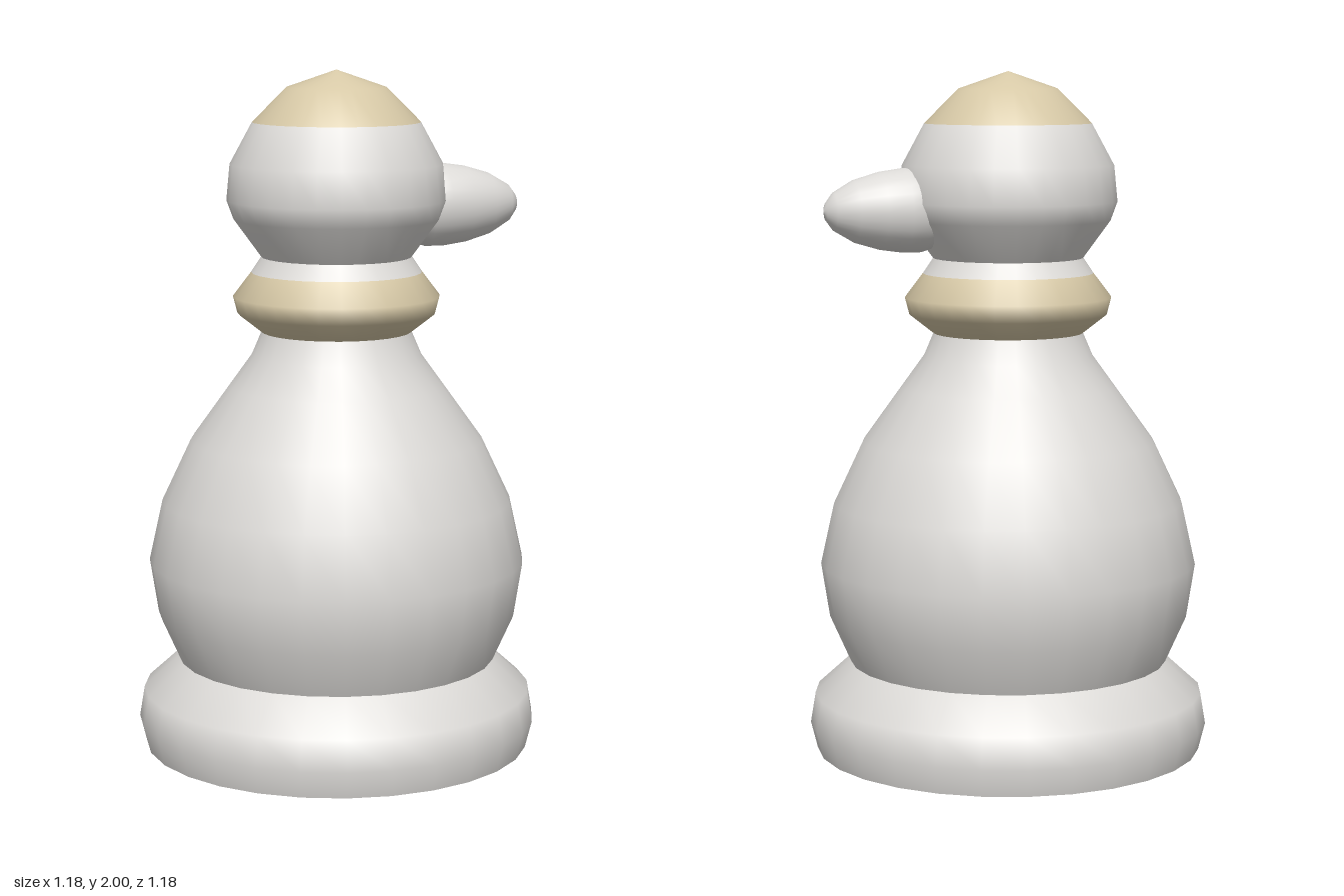
import * as THREE from 'three';

const SEGMENTS = 28;

export function createModel() {
  const model = new THREE.Group();
  const pale = new THREE.MeshStandardMaterial({ color: 0xdcdad7 });
  pale.name = 'pale grey';
  const tan = new THREE.MeshStandardMaterial({ color: 0xd6c8a6 });
  tan.name = 'warm tan';

  // Turned part; isTan(band, segment) picks the colour of each face.
  function turned(name, profile, isTan = () => false) {
    const points = profile.map(([r, y]) => new THREE.Vector2(r, y));
    const geometry = new THREE.LatheGeometry(points, SEGMENTS);
    const bands = points.length - 1;
    for (let s = 0; s < SEGMENTS; s++) {
      for (let b = 0; b < bands; b++) {
        geometry.addGroup((s * bands + b) * 6, 6, isTan(b, s) ? 1 : 0);
      }
    }
    const mesh = new THREE.Mesh(geometry, [pale, tan]);
    mesh.name = name;
    model.add(mesh);
    return mesh;
  }

  // Rounded foot with a flat underside
  turned('base', [[0.57, 0], [0.59, 0.08], [0.575, 0.17], [0.47, 0.265]]);
  const underside = new THREE.Mesh(new THREE.CircleGeometry(0.57, SEGMENTS), pale);
  underside.name = 'baseUnderside';
  underside.rotation.x = Math.PI / 2;
  model.add(underside);

  // Pear-shaped body
  turned('body', [
    [0.47, 0.265], [0.53, 0.4], [0.555, 0.56], [0.515, 0.74],
    [0.43, 0.92], [0.315, 1.08], [0.25, 1.17], [0.22, 1.24],
  ]);

  // Tan collar with a pale upper rim and one small pale patch underneath
  turned('collar',
    [[0.22, 1.24], [0.29, 1.295], [0.303, 1.345], [0.25, 1.415], [0.22, 1.46]],
    (band, seg) => band < 3 && !(band === 0 && (seg === 19 || seg === 20)));

  // Round head with a tan crown
  turned('head', [
    [0.22, 1.46], [0.3, 1.57], [0.32, 1.625], [0.31, 1.73],
    [0.245, 1.85], [0.145, 1.95], [0, 2],
  ], (band) => band >= 4);

  // Blunt nose pointing sideways along +x
  const nose = turned('nose', [
    [0.1, 0.2], [0.122, 0.27], [0.122, 0.32], [0.112, 0.39],
    [0.09, 0.465], [0.055, 0.525], [0.025, 0.548], [0, 0.555],
  ]);
  nose.rotation.z = -Math.PI / 2;
  nose.position.y = 1.603;

  return model;
}
